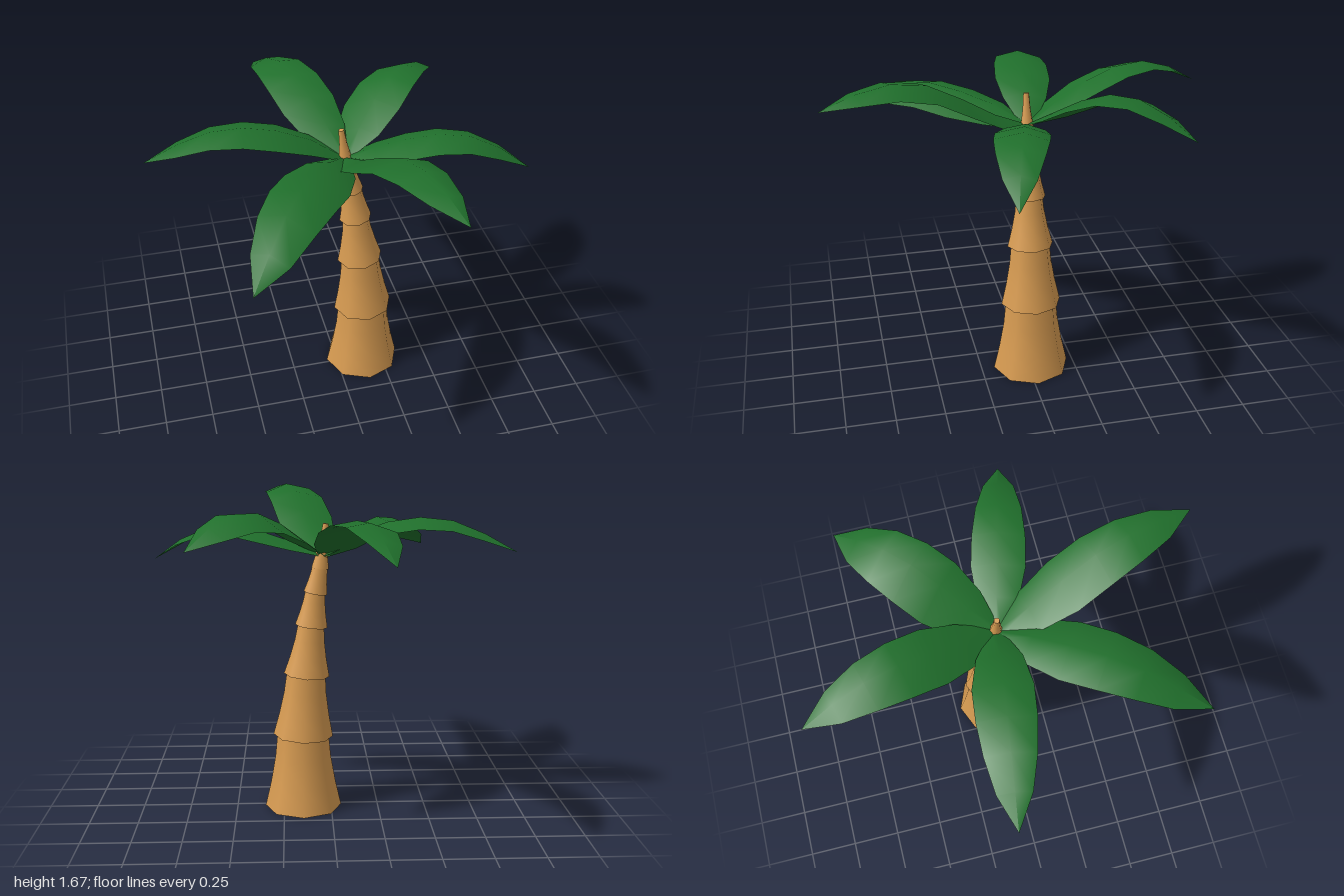
import * as THREE from 'three';

const bark = new THREE.MeshStandardMaterial({ color: 0xd79b51, side: THREE.DoubleSide });
bark.name = 'bark';
const leaf = new THREE.MeshStandardMaterial({ color: 0x20702c, side: THREE.DoubleSide });
leaf.name = 'leaf';

// Flared, open eight-sided trunk sleeve; the topmost one is closed at its end
function trunkSegment(bottom, top, height, closed) {
  const at = (t) => new THREE.Vector2(top + (bottom - top) * Math.pow(1 - t, 1.5), height * t);
  const profile = [at(0), at(0.33), at(0.67), at(1)];
  if (closed) profile.push(at(1), new THREE.Vector2(0, height));
  const g = new THREE.LatheGeometry(profile, 8);
  g.normalizeNormals();
  return g;
}

const WIDTHS = [0.2, 0.77, 1, 0.98, 0.85, 0.58, 0];

// Ridged blade: left edge, ridge and right edge at seven stations from base to tip
function frondGeometry({ tip, ridge, left, right, dropL, dropR }) {
  const base = new THREE.Vector2(0.04, -0.02);
  const end = new THREE.Vector2(...tip);
  const dir = end.clone().sub(base).normalize();
  const position = [];
  const index = [];
  WIDTHS.forEach((w, i) => {
    const c = base.clone().lerp(end, i / 6);
    const add = (side, drop) =>
      position.push(c.x - dir.y * side * w, ridge[i] - drop * w, c.y + dir.x * side * w);
    add(-left, dropL);
    add(0, 0);
    add(right, dropR);
    if (i === 6) return;
    for (let j = 0; j < 2; j++) {
      const a = i * 3 + j;
      index.push(a, a + 1, a + 3, a + 1, a + 4, a + 3);
    }
  });
  const g = new THREE.BufferGeometry();
  g.setAttribute('position', new THREE.Float32BufferAttribute(position, 3));
  g.setIndex(index);
  g.computeVertexNormals();
  return g;
}

export function createModel() {
  const model = new THREE.Group();
  model.name = 'palmTree';

  // Trunk: x, y, lean, lower radius, upper radius, height
  const trunk = new THREE.Group();
  trunk.name = 'trunk';
  [
    [0.148, 0, 0, 0.202, 0.134, 0.41],
    [0.147, 0.392, 0.05, 0.157, 0.1, 0.345],
    [0.127, 0.72, 0.09, 0.119, 0.067, 0.275],
    [0.102, 0.98, 0.12, 0.084, 0.051, 0.185],
    [0.08, 1.152, 0.18, 0.061, 0.039, 0.145],
    [0.056, 1.28, 0.13, 0.044, 0.014, 0.23],
  ].forEach(([x, y, lean, bottom, top, height], i) => {
    const m = new THREE.Mesh(trunkSegment(bottom, top, height, i === 5), bark);
    m.name = i === 5 ? 'trunkTip' : 'trunkSegment' + (i + 1);
    m.position.set(x, y, -0.02);
    m.rotation.z = lean;
    trunk.add(m);
  });
  model.add(trunk);

  // Crown: six drooping fronds, each with its own arch and roll
  const crown = new THREE.Group();
  crown.name = 'crown';
  [
    { name: 'backFrond', tip: [-0.24, -1.0], ridge: [1.35, 1.44, 1.52, 1.57, 1.575, 1.52, 1.42],
      left: 0.157, right: 0.132, dropL: 0.055, dropR: 0.02 },
    { name: 'backLeftFrond', tip: [0.68, -0.67], ridge: [1.35, 1.44, 1.53, 1.59, 1.595, 1.54, 1.445],
      left: 0.178, right: 0.143, dropL: 0.085, dropR: 0.015 },
    { name: 'leftFrond', tip: [0.93, 0.21], ridge: [1.35, 1.41, 1.455, 1.485, 1.475, 1.41, 1.3],
      left: 0.125, right: 0.14, dropL: 0.04, dropR: 0.035 },
    { name: 'frontFrond', tip: [0.32, 0.995], ridge: [1.35, 1.43, 1.54, 1.635, 1.667, 1.645, 1.59],
      left: 0.138, right: 0.158, dropL: 0.055, dropR: 0.035 },
    { name: 'frontRightFrond', tip: [-0.575, 0.88], ridge: [1.35, 1.43, 1.475, 1.5, 1.48, 1.4, 1.3],
      left: 0.165, right: 0.162, dropL: 0.085, dropR: 0.045 },
    { name: 'rightFrond', tip: [-0.93, -0.16], ridge: [1.35, 1.46, 1.52, 1.545, 1.53, 1.465, 1.375],
      left: 0.14, right: 0.146, dropL: 0.035, dropR: 0.05 },
  ].forEach((spec) => {
    const m = new THREE.Mesh(frondGeometry(spec), leaf);
    m.name = spec.name;
    crown.add(m);
  });
  model.add(crown);

  return model;
}
